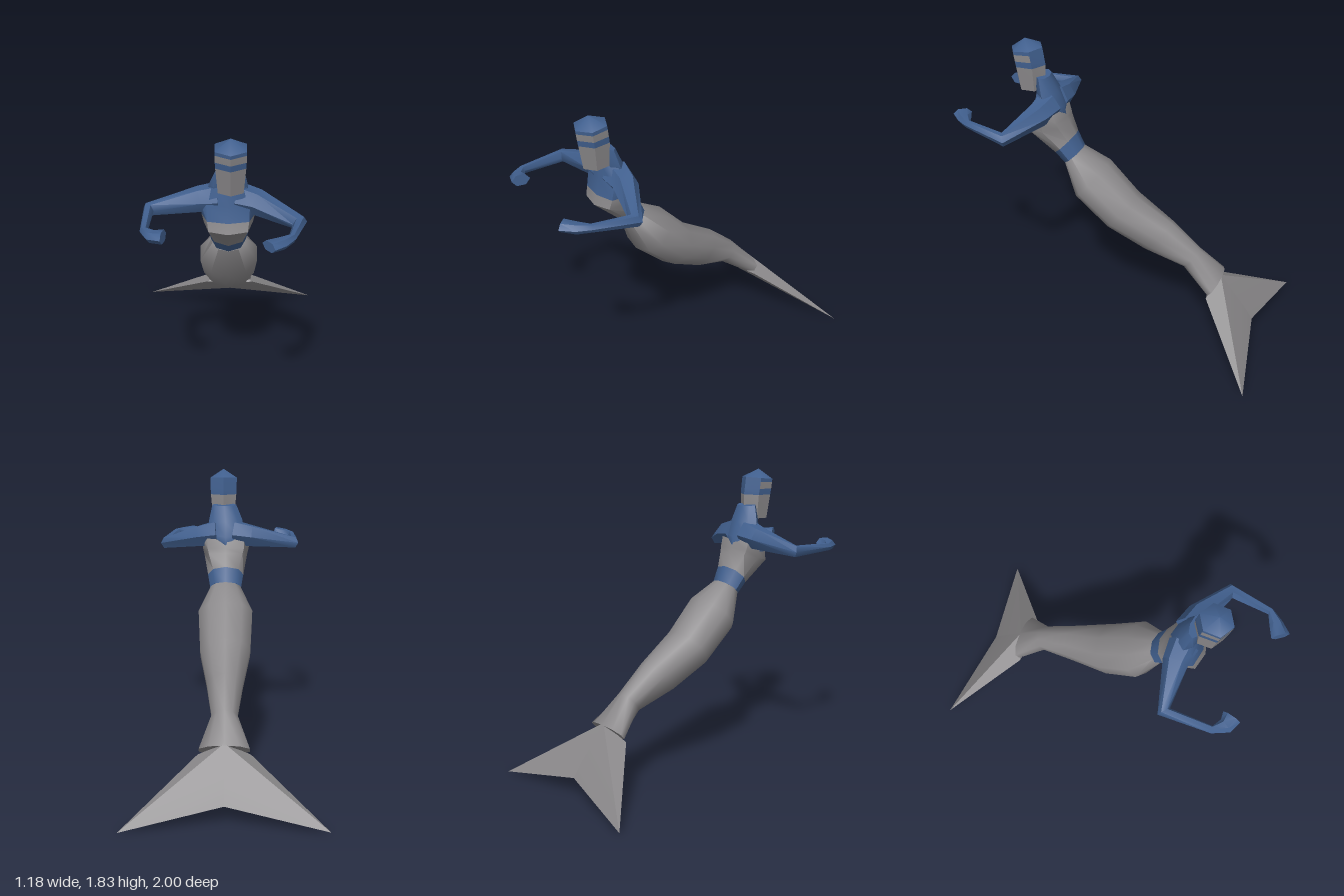
import * as THREE from 'three';
import { toCreasedNormals } from 'three/addons/utils/BufferGeometryUtils.js';
import { ConvexGeometry } from 'three/addons/geometries/ConvexGeometry.js';

const V = (x, y, z) => new THREE.Vector3(x, y, z);

export function createModel() {
  const group = new THREE.Group();
  const grey = new THREE.MeshStandardMaterial({ color: 0x8a888a });
  grey.name = 'grey skin';
  const blue = new THREE.MeshStandardMaterial({ color: 0x41608f });
  blue.name = 'blue cloth';
  const materials = [grey, blue];

  // Joins rings into a closed skin; paint(band, side) picks a material index per quad.
  function loft(name, rings, paint, crease = 0.9) {
    const n = rings[0].length, pts = rings.flat(), faces = [];
    const quad = (a, b, c, d, m) => faces.push([a, b, c, m], [a, c, d, m]);
    for (let i = 0; i < rings.length - 1; i++)
      for (let j = 0; j < n; j++) {
        const k = (j + 1) % n;
        quad(i * n + j, i * n + k, (i + 1) * n + k, (i + 1) * n + j, paint(i, j));
      }
    const last = (rings.length - 1) * n;
    for (let j = 1; j < n - 1; j++) {
      faces.push([0, j + 1, j, paint(0, j)]);
      faces.push([last, last + j, last + j + 1, paint(rings.length - 2, j)]);
    }
    // Turn the skin outward if its signed volume is negative.
    let volume = 0;
    for (const [a, b, c] of faces) volume += pts[a].dot(V(0, 0, 0).crossVectors(pts[b], pts[c]));
    const index = [], geo = new THREE.BufferGeometry().setFromPoints(pts);
    for (const m of [0, 1]) {
      const start = index.length;
      for (const [a, b, c, mat] of faces)
        if (mat === m) index.push(...(volume < 0 ? [a, c, b] : [a, b, c]));
      if (index.length > start) geo.addGroup(start, index.length - start, m);
    }
    geo.setIndex(index);
    const mesh = new THREE.Mesh(toCreasedNormals(geo, crease), materials);
    mesh.name = name;
    group.add(mesh);
    return mesh;
  }

  // Ring between a back point and a front point (z, y); power < 1 makes it boxier.
  function ring([bz, by, fz, fy, hw, cx = 0, power = 1], n = 8) {
    const soft = (v) => Math.sign(v) * Math.abs(v) ** power;
    return Array.from({ length: n }, (_, j) => {
      const a = (j / n) * Math.PI * 2, t = (1 - soft(Math.cos(a))) / 2;
      return V(cx + hw * soft(Math.sin(a)), by + (fy - by) * t, bz + (fz - bz) * t);
    });
  }

  // Tail, from the fin root up to the waist
  loft('tail', [
    [-0.68, 0.40, -0.60, 0.31, 0.155],
    [-0.53, 0.56, -0.43, 0.44, 0.08],
    [-0.34, 0.72, -0.17, 0.52, 0.115],
    [-0.10, 0.87, 0.07, 0.65, 0.165],
    [0.09, 1.06, 0.28, 0.84, 0.18],
    [0.25, 1.15, 0.36, 1.05, 0.10],
  ].map((s) => ring(s, 10)), () => 0, 1.2);

  // Tail fin, one lobe on each side
  for (const s of [1, -1]) {
    const lobe = new ConvexGeometry([
      V(0, 0.41, -0.67), V(s * 0.155, 0.32, -0.62), V(0, 0.31, -0.60),
      V(0, 0.25, -0.71), V(s * 0.1, 0.24, -0.71), V(0, 0.21, -0.83),
      V(0, 0.12, -0.89), V(s * 0.59, 0.005 + (s < 0 ? 0.015 : 0), s > 0 ? -0.985 : -1),
    ]);
    const fin = new THREE.Mesh(toCreasedNormals(lobe, 0.6), grey);
    fin.name = s > 0 ? 'leftFin' : 'rightFin';
    group.add(fin);
  }

  // Torso with waist band and chest covering
  loft('torso', [
    [0.25, 1.15, 0.36, 1.05, 0.10],
    [0.295, 1.24, 0.42, 1.115, 0.115],
    [0.335, 1.32, 0.578, 1.26, 0.14, 0, 0.7],
    [0.35, 1.35, 0.56, 1.32, 0.15, 0, 0.7],
    [0.37, 1.41, 0.54, 1.42, 0.16, 0, 0.8],
    [0.42, 1.50, 0.53, 1.52, 0.10],
  ].map((s) => ring(s)), (i, j) => (i === 0 || i === 4 || (i === 3 && j > 1 && j < 6) ? 1 : 0));

  // Hair falling behind the neck to a point on the back
  loft('neckHair', [
    [0.355, 1.37, 0.42, 1.38, 0.02],
    [0.365, 1.42, 0.50, 1.45, 0.115],
    [0.405, 1.51, 0.53, 1.52, 0.11],
    [0.452, 1.61, 0.53, 1.62, 0.078, 0.01],
  ].map((s) => ring(s)), () => 1);

  // Head: chin to crown, with a blue band and cap around a grey brow
  const hex = 1 / Math.sin(Math.PI / 3);
  loft('head', [
    [0.48, 1.53, 0.65, 1.525, 0.07],
    [0.473, 1.68, 0.677, 1.675, 0.083],
    [0.479, 1.72, 0.683, 1.71, 0.085],
    [0.486, 1.765, 0.688, 1.75, 0.086],
    [0.49, 1.79, 0.69, 1.77, 0.086],
    [0.598, 1.835, 0.602, 1.835, 0.002],
  ].map(([bz, by, fz, fy, hw]) => ring([bz, by, fz, fy, hw * hex, 0.015], 6)),
  (i, j) => (i === 0 || (i === 2 && j > 0 && j < 5) ? 0 : 1), 0.8);

  // Arms: each stop is x, y, z, half thickness sideways, half thickness upward
  function arm(name, stops) {
    const path = stops.map(([x, y, z]) => V(x, y, z));
    const rings = stops.map(([, , , rs, ru], i) => {
      const dir = path[Math.min(i + 1, path.length - 1)].clone().sub(path[Math.max(i - 1, 0)]).normalize();
      const side = V(0, 1, 0).cross(dir).normalize(), up = dir.clone().cross(side);
      return Array.from({ length: 6 }, (_, j) => {
        const a = (j / 6) * Math.PI * 2;
        return path[i].clone().addScaledVector(side, Math.cos(a) * rs).addScaledVector(up, Math.sin(a) * ru);
      });
    });
    loft(name, rings, () => 1);
  }
  arm('leftArm', [
    [0.05, 1.435, 0.45, 0.09, 0.09], [0.16, 1.415, 0.47, 0.075, 0.075],
    [0.395, 1.345, 0.595, 0.045, 0.04], [0.34, 1.375, 0.85, 0.022, 0.025],
    [0.285, 1.37, 0.90, 0.04, 0.033], [0.215, 1.375, 0.95, 0.056, 0.03],
  ]);
  arm('rightArm', [
    [-0.05, 1.435, 0.45, 0.09, 0.09], [-0.16, 1.42, 0.44, 0.075, 0.075],
    [-0.445, 1.37, 0.475, 0.04, 0.038], [-0.448, 1.37, 0.76, 0.022, 0.025],
    [-0.40, 1.37, 0.825, 0.045, 0.033], [-0.34, 1.375, 0.84, 0.056, 0.037],
  ]);

  return group;
}
